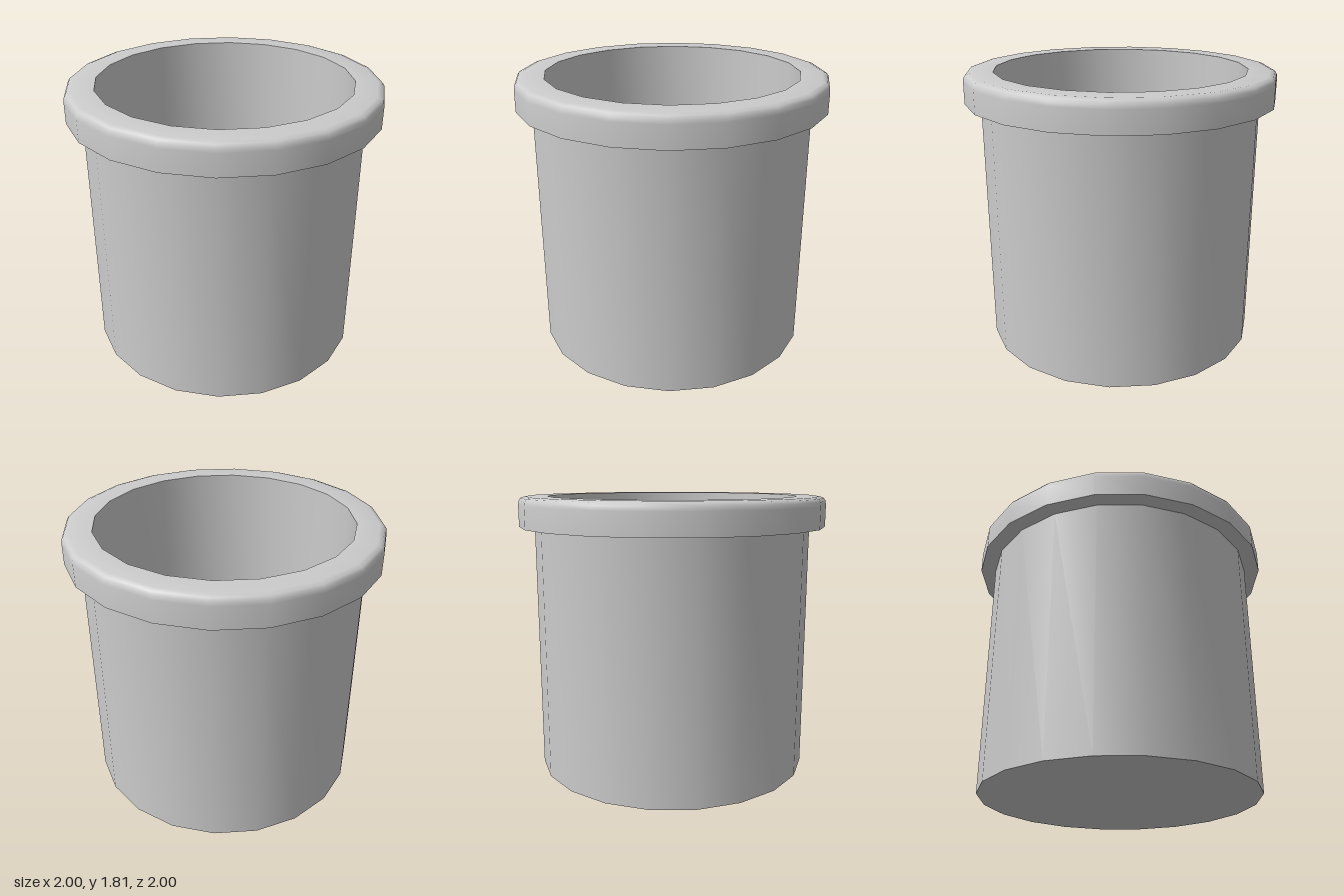
import * as THREE from 'three';
import { toCreasedNormals } from 'three/addons/utils/BufferGeometryUtils.js';

const SIDES = 20;
const material = new THREE.MeshStandardMaterial({ color: 0xcccccc });

// Spins an [radius, height] profile around the y axis, keeping sharp edges.
function turned(name, profile) {
  const points = profile.map(([r, y]) => new THREE.Vector2(r, y));
  const geometry = toCreasedNormals(new THREE.LatheGeometry(points, SIDES), 0.7);
  const mesh = new THREE.Mesh(geometry, material);
  mesh.name = name;
  return mesh;
}

export function createModel() {
  const pot = new THREE.Group();
  pot.name = 'pot';

  // Underside and outer wall
  pot.add(turned('outerWall', [[0, 0], [0.9, 0], [0.9, 1.615]]));

  // Thick collar with a softened upper edge
  pot.add(turned('rim', [
    [0.9, 1.615], [1, 1.615], [1, 1.755], [0.996, 1.78],
    [0.984, 1.798], [0.955, 1.808], [0.815, 1.808],
  ]));

  // Hollow: inner wall and floor
  pot.add(turned('innerWall', [[0.815, 1.808], [0.815, 0.09], [0, 0.09]]));

  return pot;
}
